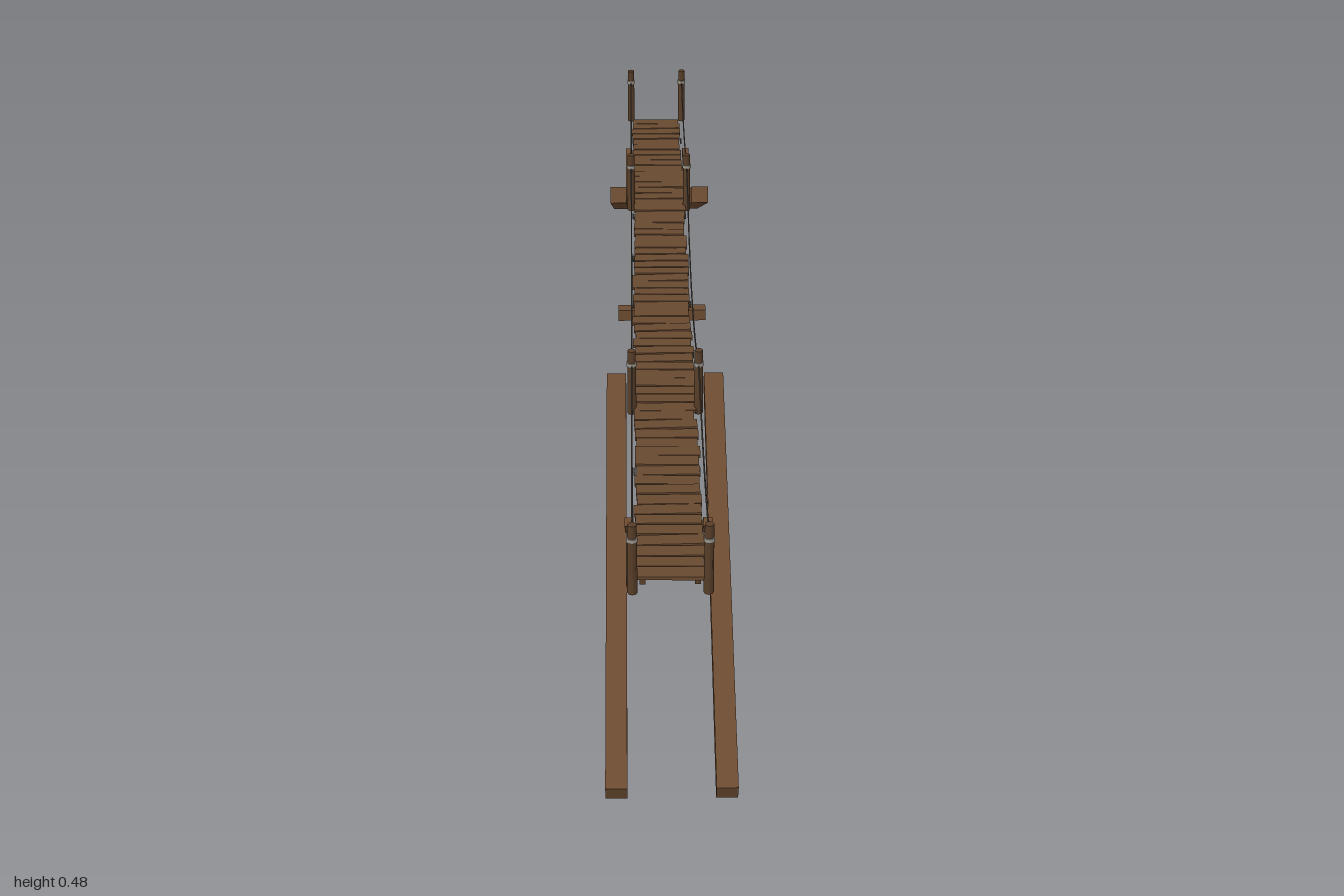
import * as THREE from 'three';

const mat = (color) => new THREE.MeshStandardMaterial({ color });
const WOOD = mat(0x6b4a30), PLANK = mat(0x684930), POST = mat(0x573d28), ROPE = mat(0x55504a), KNOT = mat(0x9a958c);
const V = (x, y, z) => new THREE.Vector3(x, y, z);

// height of the gently sloping deck along the bridge
const deckY = (z) => 0.334 + 0.036 * z;

function seeded(seed) {
  return () => (seed = (seed * 16807) % 2147483647) / 2147483647;
}

// square timber running from a to b
function timber(name, a, b, w, h, material = WOOD) {
  const m = new THREE.Mesh(new THREE.BoxGeometry(w, h, a.distanceTo(b)), material);
  m.name = name;
  m.position.copy(a).lerp(b, 0.5);
  m.lookAt(b);
  return m;
}

// rope hanging between a and b, dipping by sag below the chord
function hangingRope(name, a, b, sag) {
  const pts = [];
  for (let i = 0; i <= 12; i++) {
    const t = i / 12, p = a.clone().lerp(b, t);
    p.y -= 4 * sag * t * (1 - t);
    pts.push(p);
  }
  const m = new THREE.Mesh(new THREE.TubeGeometry(new THREE.CatmullRomCurve3(pts), 28, 0.0014, 5), ROPE);
  m.name = name;
  return m;
}

export function createModel() {
  const model = new THREE.Group();
  model.name = 'plankBridge';
  const bridge = new THREE.Group();
  bridge.name = 'bridge';
  bridge.rotation.y = THREE.MathUtils.degToRad(-29.4);
  model.add(bridge);
  const rnd = seeded(77);

  // planks with slightly uneven lengths, angles and gaps
  const planks = new THREE.Group();
  planks.name = 'planks';
  const n = 62, end = 0.915, step = (2 * end) / n;
  for (let i = 0; i < n; i++) {
    const z = -end + step * (i + 0.5);
    const p = new THREE.Mesh(new THREE.BoxGeometry(0.1 + rnd() * 0.008, 0.006, step * (0.84 + rnd() * 0.14)), PLANK);
    p.name = 'plank';
    p.position.set((rnd() - 0.5) * 0.005, deckY(z) + 0.003 + (rnd() - 0.5) * 0.002, z);
    p.rotation.set(-0.036, (rnd() - 0.5) * 0.06, (rnd() - 0.5) * 0.03);
    planks.add(p);
  }
  bridge.add(planks);

  // crosspiece under the middle of the deck
  bridge.add(timber('middleCrossbeam', V(-0.082, 0.316, 0), V(0.082, 0.316, 0), 0.022, 0.022));

  // lashings along the deck edges
  const knotGeo = new THREE.TorusGeometry(0.005, 0.002, 5, 8);

  for (const s of [-1, 1]) {
    // stringer under each deck edge
    bridge.add(timber('stringer', V(s * 0.042, deckY(-0.91) - 0.005, -0.91), V(s * 0.042, deckY(0.91) - 0.005, 0.91), 0.009, 0.009, POST));
    for (let i = -4; i <= 4; i++) {
      const k = new THREE.Mesh(knotGeo, ROPE);
      k.name = 'deckLashing';
      k.position.set(s * 0.053, deckY(i * 0.2) - 0.001, i * 0.2);
      k.rotation.y = Math.PI / 2;
      bridge.add(k);
    }

    // sloping main beams and their short braces, at the front and back ends
    bridge.add(
      timber('frontBeam', V(s * 0.083, 0.1, 1.084), V(s * 0.083, 0.396, 0.375), 0.033, 0.033),
      timber('backBeam', V(s * 0.083, 0.0148, -1.082), V(s * 0.083, 0.366, -0.403), 0.033, 0.033),
      timber('frontBrace', V(s * 0.062, 0.36, 0.75), V(s * 0.062, 0.276, 0.65), 0.014, 0.014),
      timber('backBrace', V(s * 0.062, 0.306, -0.75), V(s * 0.062, 0.238, -0.645), 0.014, 0.014)
    );

    // handrail posts with a rope band near the top
    const tie = [];
    for (const [z, top] of [[0.935, 0.485], [0.398, 0.466], [-0.445, 0.437], [-0.938, 0.415]]) {
      const bottom = deckY(z) - 0.006, h = top - bottom;
      const post = new THREE.Mesh(new THREE.CylinderGeometry(0.007, 0.0078, h, 8), POST);
      post.name = 'post';
      post.position.set(s * 0.057, bottom + h / 2, z);
      const band = new THREE.Mesh(new THREE.CylinderGeometry(0.0088, 0.0088, 0.007, 10), KNOT);
      band.name = 'ropeBand';
      band.position.set(s * 0.057, top - 0.026, z);
      bridge.add(post, band);
      tie.push(band.position.clone());
    }

    // hand ropes: the middle span dips down to the deck
    bridge.add(
      hangingRope('frontHandRope', tie[0], tie[1], 0.026),
      hangingRope('middleHandRope', tie[1], tie[2], 0.088),
      hangingRope('backHandRope', tie[2], tie[3], 0.026)
    );
  }
  return model;
}
